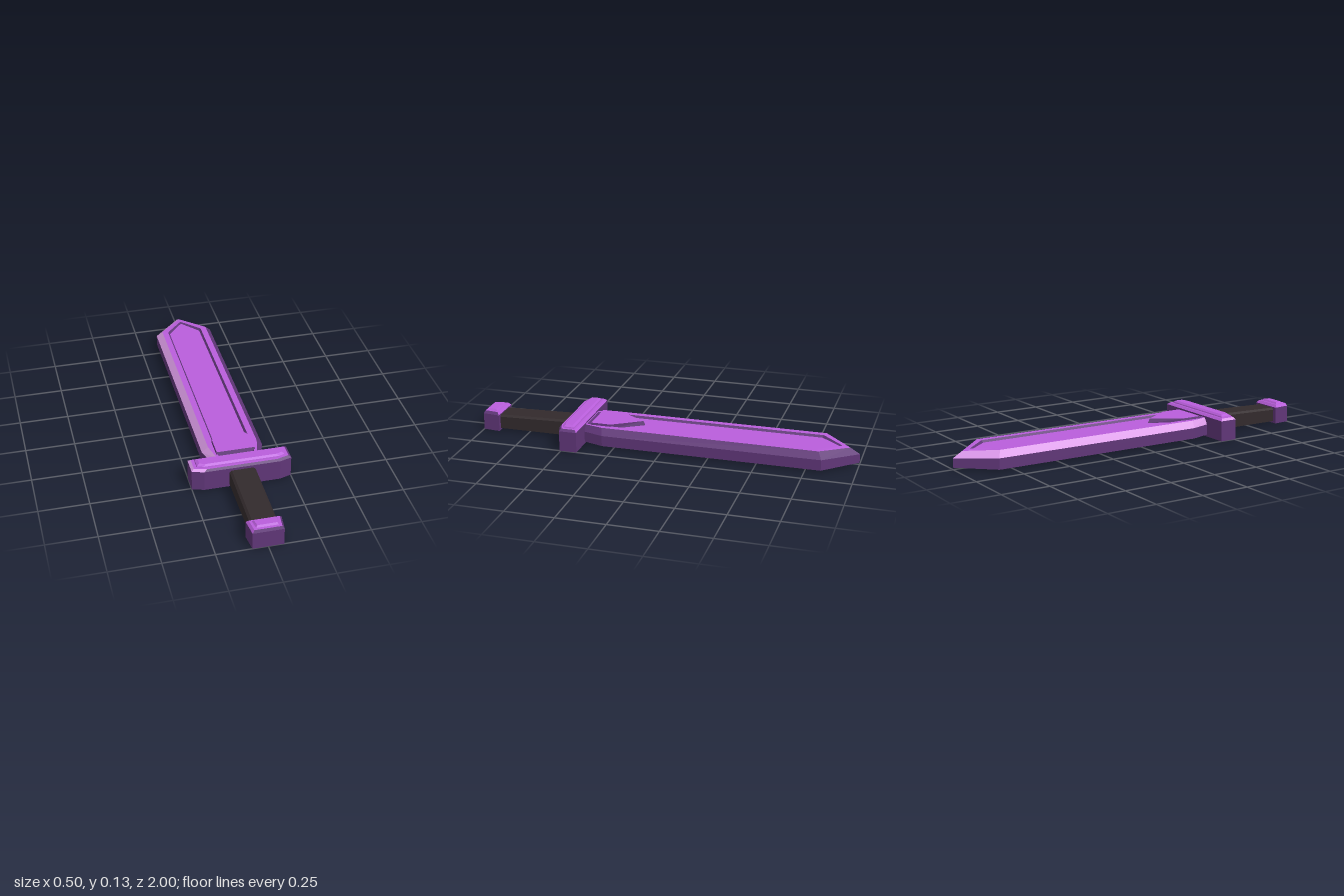
import * as THREE from 'three';

const mat = (name, color) => {
  const m = new THREE.MeshStandardMaterial({ color });
  m.name = name;
  return m;
};

export function createModel() {
  const purple = mat('purple', 0xb95edb);
  const light = mat('light edge', 0xde9aee);
  const muted = mat('muted edge', 0xdc9ce8);
  const wall = mat('side purple', 0x603678);
  const leather = mat('grip brown', 0x322a2c);

  const group = new THREE.Group();

  // Joins stacked loops (counterclockwise from above) with flat faces and caps both ends.
  // paint(band, edge) picks the material of each quad.
  function loft(name, loops, paint, top, bottom) {
    const faces = new Map();
    const tri = (m, a, b, c) => {
      if (!faces.has(m)) faces.set(m, []);
      faces.get(m).push(...a, ...b, ...c);
    };
    const n = loops[0].length;
    for (let k = 0; k < loops.length - 1; k++) {
      for (let i = 0; i < n; i++) {
        const j = (i + 1) % n, a = loops[k], b = loops[k + 1], m = paint(k, i);
        tri(m, a[i], a[j], b[j]);
        tri(m, a[i], b[j], b[i]);
      }
    }
    const first = loops[0], last = loops[loops.length - 1];
    for (let i = 1; i < n - 1; i++) {
      tri(bottom, first[0], first[i + 1], first[i]);
      tri(top, last[0], last[i], last[i + 1]);
    }
    const positions = [], materials = [], geo = new THREE.BufferGeometry();
    for (const [m, p] of faces) {
      geo.addGroup(positions.length / 3, p.length / 3, materials.length);
      materials.push(m);
      positions.push(...p);
    }
    geo.setAttribute('position', new THREE.Float32BufferAttribute(positions, 3));
    geo.computeVertexNormals();
    const mesh = new THREE.Mesh(geo, materials);
    mesh.name = name;
    group.add(mesh);
  }

  // Blade: side wall, sloped edge, flat rim and sunken panel
  const bladeLoop = (base, baseZ, w, shoulderZ, tipZ, endZ, y, yEnd = y) => {
    const half = [[base, y, baseZ], [w, y, shoulderZ], [w, y, tipZ]];
    return [...half, [0, yEnd, endZ], ...half.map(([x, h, z]) => [-x, h, z]).reverse()];
  };
  const edgePaint = [wall, wall, wall, light, muted, muted, wall];
  loft('blade', [
    bladeLoop(0.12, 0.42, 0.155, 0.31, -0.83, -1, 0.01),
    bladeLoop(0.12, 0.42, 0.155, 0.31, -0.83, -1, 0.066, 0.056),
    bladeLoop(0.1, 0.42, 0.125, 0.32, -0.81, -0.95, 0.099, 0.086),
    bladeLoop(0.09, 0.41, 0.094, 0.32, -0.8, -0.91, 0.099, 0.092),
    bladeLoop(0.08, 0.4, 0.085, 0.32, -0.795, -0.895, 0.088),
  ], (k, i) => [wall, edgePaint[i], purple, wall][k], purple, wall);

  // Raised arrow at the root of the blade
  const arrowLoop = (w, baseZ, shoulderZ, tipZ, y) => [
    [w, y, baseZ], [w, y, shoulderZ], [0, y, tipZ], [-w, y, shoulderZ], [-w, y, baseZ],
  ];
  loft('bladeArrow', [
    arrowLoop(0.103, 0.395, 0.285, 0.12, 0.085),
    arrowLoop(0.096, 0.385, 0.28, 0.132, 0.11),
  ], () => wall, purple, wall);

  // Crossguard with clipped front corners and a raised trim
  const guardLoop = (w, back, front, y, clipX = 0.06, clipZ = 0.018) => [
    [w, y, back], [-w, y, back], [-w, y, front - clipZ],
    [-w + clipX, y, front], [w - clipX, y, front], [w, y, front - clipZ],
  ];
  const guardEdge = [purple, light, light, wall, wall, wall];
  loft('guard', [
    guardLoop(0.25, 0.415, 0.525, 0),
    guardLoop(0.25, 0.415, 0.525, 0.107),
    guardLoop(0.237, 0.426, 0.517, 0.118),
  ], (k, i) => (k ? guardEdge[i] : wall), purple, wall);
  loft('guardTrim', [
    guardLoop(0.222, 0.435, 0.505, 0.117, 0.03, 0.012),
    guardLoop(0.22, 0.437, 0.503, 0.124, 0.03, 0.012),
    guardLoop(0.207, 0.447, 0.493, 0.132, 0.03, 0.01),
  ], () => purple, purple, wall);

  // Four-sided loop with separate widths and heights at its back and front
  const boxLoop = (wBack, wFront, back, front, yBack, yFront = yBack) => [
    [wFront, yFront, front], [wBack, yBack, back], [-wBack, yBack, back], [-wFront, yFront, front],
  ];

  // Grip, slightly lower toward the pommel
  loft('grip', [
    boxLoop(0.065, 0.065, 0.515, 0.92, 0.01),
    boxLoop(0.065, 0.065, 0.515, 0.92, 0.084, 0.074),
    boxLoop(0.054, 0.054, 0.515, 0.92, 0.094, 0.084),
  ], () => leather, leather, leather);

  // Pommel and its cap plate
  loft('pommel', [
    boxLoop(0.086, 0.076, 0.91, 1, 0),
    boxLoop(0.086, 0.076, 0.91, 1, 0.089),
    boxLoop(0.074, 0.066, 0.921, 0.993, 0.103),
  ], (k, i) => (k ? [wall, purple, purple, wall][i] : wall), purple, wall);
  loft('pommelTrim', [
    boxLoop(0.063, 0.055, 0.928, 0.98, 0.102),
    boxLoop(0.054, 0.047, 0.936, 0.972, 0.112),
  ], () => purple, purple, wall);

  return group;
}
